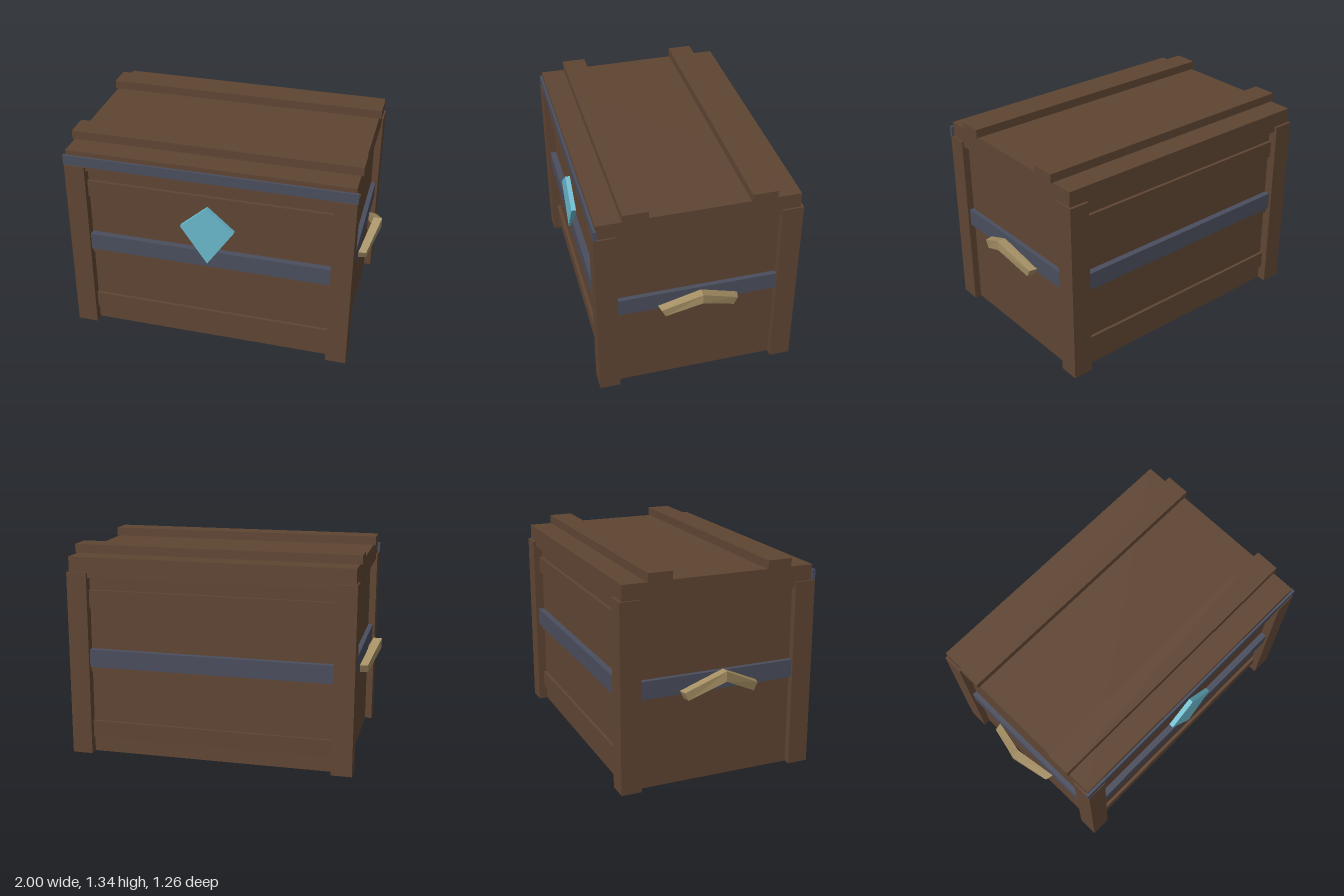
import * as THREE from 'three';

export function createModel() {
  const chest = new THREE.Group();
  chest.name = 'chest';

  const material = (name, color) => {
    const m = new THREE.MeshStandardMaterial({ color });
    m.name = name;
    return m;
  };
  const wood = material('brown wood', 0x5f4533);
  const iron = material('blue grey iron', 0x4a4d5d);
  const tan = material('tan handle', 0xa58f64);
  const crystal = material('cyan crystal', 0x69b8cc);

  const add = (name, geometry, mat) => {
    const mesh = new THREE.Mesh(geometry, mat);
    mesh.name = name;
    chest.add(mesh);
    return mesh;
  };
  // Box given by its lower and upper limits on each axis
  const box = (name, mat, [x0, x1], [y0, y1], [z0, z1]) =>
    add(name, new THREE.BoxGeometry(x1 - x0, y1 - y0, z1 - z0), mat)
      .position.set((x0 + x1) / 2, (y0 + y1) / 2, (z0 + z1) / 2);
  // Limits mirrored to the negative side when s is -1
  const side = (s, a, b) => (s > 0 ? [a, b] : [-b, -a]);

  // Body and lid
  box('body', wood, [-0.86, 0.86], [0, 1.15], [-0.57, 0.57]);
  box('lid', wood, [-0.895, 0.895], [1.15, 1.28], [-0.61, 0.61]);
  box('lidTrim', iron, [-0.91, 0.91], [1.185, 1.25], [0.605, 0.625]);

  // Four corner posts
  for (const sx of [-1, 1]) {
    for (const sz of [-1, 1]) {
      box('cornerPost', wood, side(sx, 0.775, 0.905), [0, 1.183], side(sz, 0.498, 0.628));
    }
  }

  // Slats, planks and bands on the long sides
  for (const s of [-1, 1]) {
    box('lidSlat', wood, [-0.91, 0.91], [1.28, 1.335], side(s, 0.305, 0.458));
    for (const y of [0.1, 0.54, 0.96]) {
      box('plank', wood, [-0.78, 0.78], [y, y + 0.11], side(s, 0.56, 0.59));
    }
    box('longBand', iron, [-0.78, 0.78], [0.577, 0.69], side(s, 0.56, 0.61));
    box('endBand', iron, side(s, 0.85, 0.89), [0.577, 0.69], [-0.5, 0.5]);
  }

  // Kite-shaped clasp
  const kite = new THREE.Shape();
  kite.moveTo(0, 0.61);
  kite.lineTo(0.17, 0.86);
  kite.lineTo(0, 1.01);
  kite.lineTo(-0.17, 0.86);
  const kiteGeometry = new THREE.ExtrudeGeometry(kite, { depth: 0.03, bevelEnabled: false });
  add('clasp', kiteGeometry, crystal).position.z = 0.597;

  // Bent handles: a four-cornered bar swept through end, peak, end
  const endSection = (s) => [
    [0.89, 0.6, 0.25 * s], [0.94, 0.6, 0.24 * s],
    [0.94, 0.55, 0.215 * s], [0.89, 0.55, 0.225 * s],
  ];
  const sections = [
    endSection(-1),
    [[0.945, 0.722, 0], [1, 0.722, 0], [1, 0.658, 0], [0.945, 0.658, 0]],
    endSection(1),
  ];
  const points = [];
  const quad = (a, b, c, d) => points.push(...a, ...b, ...c, ...a, ...c, ...d);
  for (let i = 0; i < 2; i++) {
    const p = sections[i], q = sections[i + 1];
    for (let j = 0; j < 4; j++) {
      const k = (j + 1) % 4;
      quad(p[j], q[j], q[k], p[k]);
    }
  }
  quad(...sections[0]);
  quad(...[...sections[2]].reverse());
  const handle = new THREE.BufferGeometry();
  handle.setAttribute('position', new THREE.Float32BufferAttribute(points, 3));
  handle.computeVertexNormals();
  add('leftHandle', handle, tan);
  add('rightHandle', handle, tan).rotation.y = Math.PI;

  return chest;
}
